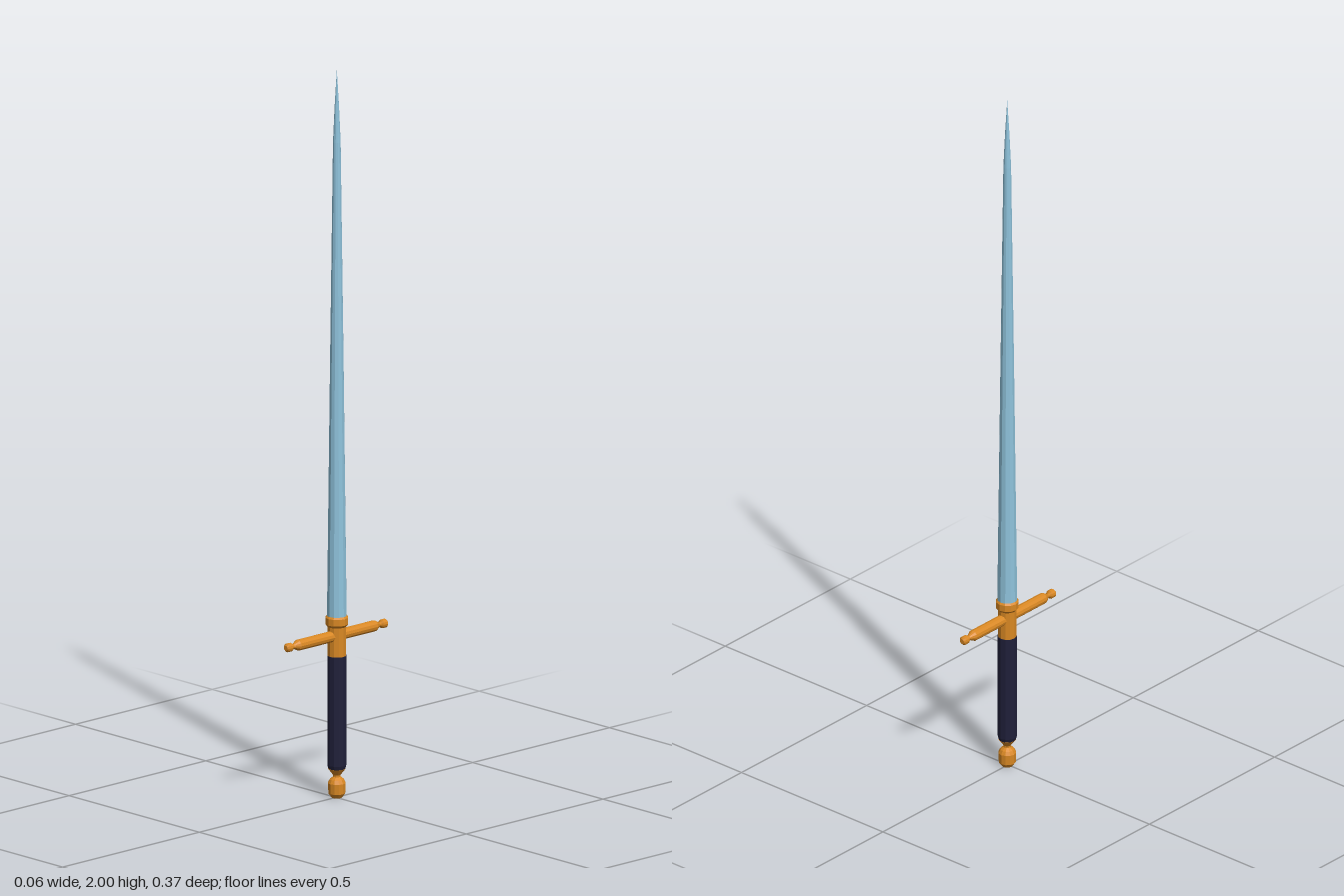
import * as THREE from 'three';

const SIDES = 12;

export function createModel() {
  const model = new THREE.Group();
  model.name = 'sword';

  const material = (name, color) => {
    const m = new THREE.MeshStandardMaterial({ color });
    m.name = name;
    m.flatShading = true;
    return m;
  };
  const steel = material('blue steel', 0x8fc3dc);
  const gold = material('gold', 0xd98823);
  const leather = material('dark grip', 0x20203a);

  // Turned part from [radius, height] pairs
  const turned = (name, profile, mat, parent = model) => {
    const points = profile.map(([r, y]) => new THREE.Vector2(r, y));
    const mesh = new THREE.Mesh(new THREE.LatheGeometry(points, SIDES), mat);
    mesh.name = name;
    parent.add(mesh);
    return mesh;
  };

  // Everything on the main axis sits slightly behind the guard's centre
  const shaft = new THREE.Group();
  shaft.name = 'shaft';
  shaft.position.z = -0.003;
  model.add(shaft);

  turned('blade', [[0.027, 0.49], [0.0185, 1.2], [0.0105, 1.8], [0.006, 1.9], [0, 2]], steel, shaft);
  turned('collar', [
    [0, 0.385], [0.025, 0.385], [0.025, 0.47], [0.031, 0.477],
    [0.031, 0.495], [0.027, 0.5], [0, 0.5],
  ], gold, shaft);
  turned('grip', [[0, 0.08], [0.023, 0.08], [0.026, 0.09], [0.026, 0.39], [0, 0.39]], leather, shaft);
  turned('pommel', [
    [0, 0], [0.014, 0], [0.023, 0.012], [0.024, 0.04], [0.019, 0.05],
    [0.01, 0.057], [0.01, 0.062], [0.024, 0.08], [0, 0.08],
  ], gold, shaft);

  // Crossguard running front to back, with a knob at each end
  const half = [[0.015, 0.14], [0.006, 0.157], [0.006, 0.161], [0.012, 0.166], [0.012, 0.179], [0.007, 0.184], [0, 0.184]];
  const mirrored = half.map(([r, y]) => [r, -y]).reverse();
  const guard = turned('crossguard', [...mirrored, ...half], gold);
  guard.rotation.x = Math.PI / 2;
  guard.position.y = 0.445;

  return model;
}
